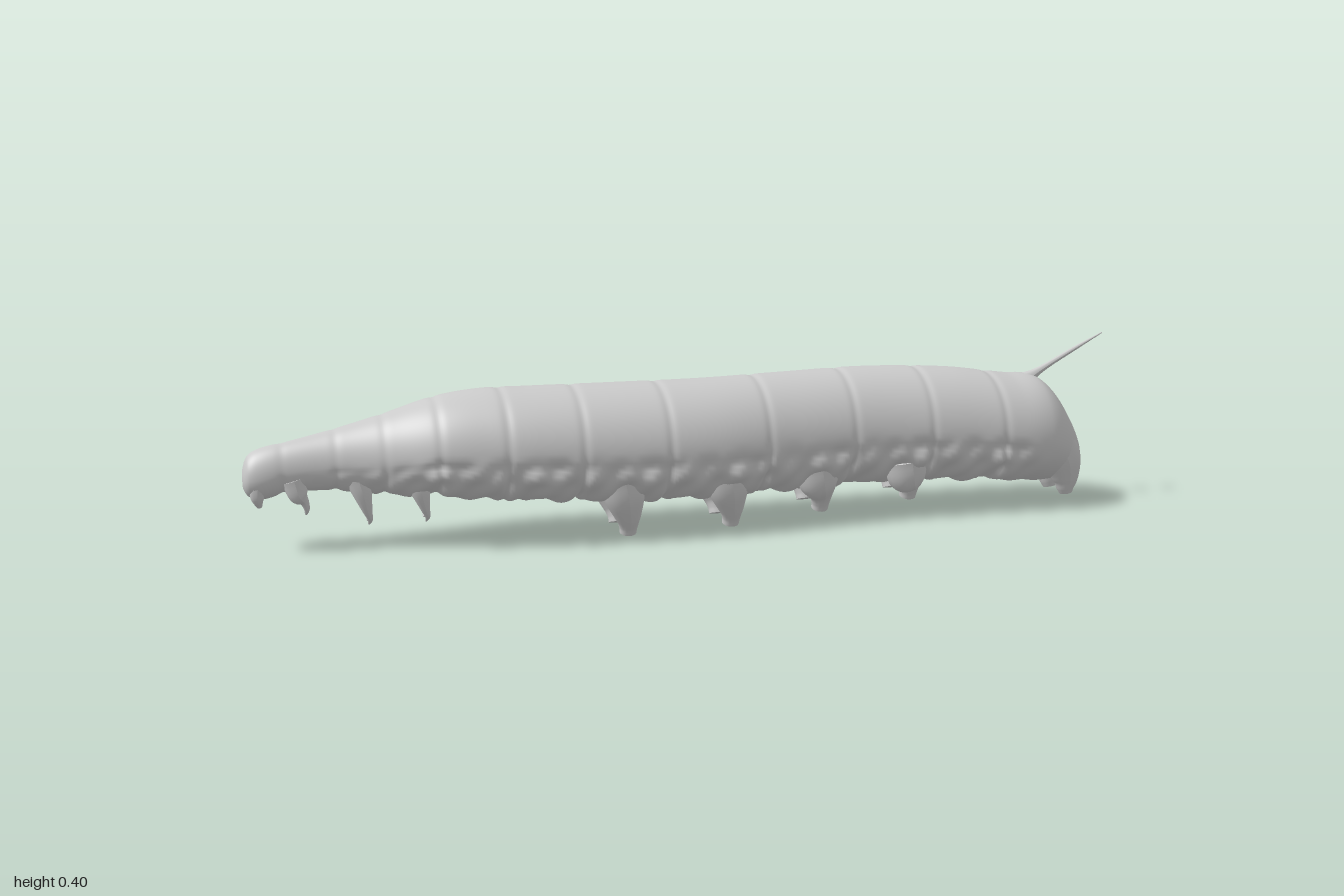
import * as THREE from 'three';

const material = new THREE.MeshStandardMaterial({ color: 0xcccccc });

// Body stations: x, top y, bottom y, right z (min), left z (max)
const STATIONS = [
  [-1.0, 0.172, 0.135, -0.034, 0.008], [-0.992, 0.198, 0.118, -0.05, 0.022],
  [-0.965, 0.216, 0.108, -0.058, 0.03], [-0.9, 0.23, 0.122, -0.055, 0.032],
  [-0.8, 0.253, 0.118, -0.072, 0.047], [-0.7, 0.281, 0.105, -0.092, 0.078],
  [-0.6, 0.312, 0.1, -0.118, 0.118], [-0.5, 0.326, 0.085, -0.132, 0.138],
  [-0.4, 0.327, 0.08, -0.136, 0.15], [-0.2, 0.327, 0.066, -0.141, 0.157],
  [0.0, 0.327, 0.062, -0.147, 0.152], [0.2, 0.331, 0.062, -0.156, 0.128],
  [0.4, 0.335, 0.066, -0.161, 0.113], [0.6, 0.327, 0.062, -0.157, 0.117],
  [0.75, 0.308, 0.052, -0.152, 0.122], [0.82, 0.301, 0.046, -0.14, 0.115],
  [0.86, 0.27, 0.048, -0.116, 0.1], [0.9, 0.212, 0.055, -0.082, 0.074],
  [0.93, 0.158, 0.066, -0.046, 0.042], [0.944, 0.125, 0.085, -0.018, 0.016],
];
const CREASES = [-0.92, -0.81, -0.71, -0.6, -0.46, -0.3, -0.11, 0.12, 0.33, 0.52, 0.7];

const bump = (d, w) => Math.exp(-(d * d) / (w * w));

// Smooth interpolation between stations
function sample(x) {
  let i = 0;
  while (i < STATIONS.length - 2 && x > STATIONS[i + 1][0]) i++;
  const p = STATIONS[i], q = STATIONS[i + 1];
  const o = STATIONS[Math.max(i - 1, 0)], r = STATIONS[Math.min(i + 2, STATIONS.length - 1)];
  const h = q[0] - p[0], t = (x - p[0]) / h;
  return [1, 2, 3, 4].map((k) => {
    const m0 = (q[k] - o[k]) / (q[0] - o[0]) * h, m1 = (r[k] - p[k]) / (r[0] - p[0]) * h;
    const t2 = t * t, t3 = t2 * t;
    return (2 * t3 - 3 * t2 + 1) * p[k] + (t3 - 2 * t2 + t) * m0 + (3 * t2 - 2 * t3) * q[k] + (t3 - t2) * m1;
  });
}

// Segmented body: smooth back, side ridge and wrinkled underside
function bodyGeometry() {
  const N = 420, M = 72, pos = [], idx = [];
  const x0 = STATIONS[0][0], x1 = STATIONS[STATIONS.length - 1][0];
  for (let i = 0; i <= N; i++) {
    const x = x0 + (x1 - x0) * i / N;
    const [top, bot, zr, zl] = sample(x);
    const yc = bot + (top - bot) * 0.45, zc = (zr + zl) / 2, hw = (zl - zr) / 2;
    let crease = 0;
    for (const c of CREASES) crease += bump(x - c, 0.009);
    const ends = THREE.MathUtils.smoothstep(x, -0.92, -0.6) * (1 - THREE.MathUtils.smoothstep(x, 0.7, 0.85));
    for (let j = 0; j < M; j++) {
      const a = j / M * Math.PI * 2, s = Math.sin(a), c = Math.cos(a);
      const low = THREE.MathUtils.smoothstep(-s, -0.1, 0.45);
      const side = Math.sign(c) || 1;
      let f = 1 - crease * (0.018 + 0.05 * low);
      f += ends * low * (0.03 * Math.sin(x * 58 + s * 5 + side) + 0.025 * Math.sin(x * 97 - s * 9));
      f += ends * (0.035 * bump(s + 0.42, 0.12) - 0.04 * bump(s + 0.18, 0.1)) * (0.7 + 0.5 * Math.sin(x * 29));
      pos.push(x, yc + s * f * (s > 0 ? top - yc : yc - bot), zc + c * f * hw);
    }
  }
  for (let i = 0; i < N; i++) for (let j = 0; j < M; j++) {
    const a = i * M + j, b = a + M, c = i * M + (j + 1) % M, d = c + M;
    idx.push(a, b, c, c, b, d);
  }
  // Closed ends
  for (const [ring, flip] of [[0, false], [N, true]]) {
    const [top, bot, zr, zl] = sample(ring ? x1 : x0);
    const centre = pos.length / 3;
    pos.push(ring ? x1 + 0.003 : x0 - 0.001, (top + bot) / 2, (zr + zl) / 2);
    for (let j = 0; j < M; j++) {
      const a = ring * M + j, b = ring * M + (j + 1) % M;
      idx.push(centre, flip ? b : a, flip ? a : b);
    }
  }
  const g = new THREE.BufferGeometry();
  g.setAttribute('position', new THREE.Float32BufferAttribute(pos, 3));
  g.setIndex(idx);
  g.computeVertexNormals();
  return g;
}

// Tapered round limb through points [x, y, z, radius], closed at both ends
function limbGeometry(points, flat = 1, sides = 16, steps = 20) {
  const path = new THREE.CatmullRomCurve3(points.map((p) => new THREE.Vector3(p[0], p[1], p[2])));
  const radii = new THREE.CatmullRomCurve3(points.map((p, i) => new THREE.Vector3(i, p[3], 0)));
  const g = new THREE.CylinderGeometry(1, 1, 1, sides, steps);
  const pos = g.attributes.position, up = new THREE.Vector3(0, 1, 0);
  const v = new THREE.Vector3(), q = new THREE.Quaternion();
  for (let i = 0; i < pos.count; i++) {
    const t = THREE.MathUtils.clamp(0.5 - pos.getY(i), 0, 1);
    const r = Math.max(radii.getPoint(t).y, 0.0006);
    q.setFromUnitVectors(up, path.getTangent(t).negate());
    v.set(pos.getX(i) * r, 0, pos.getZ(i) * r * flat).applyQuaternion(q).add(path.getPoint(t));
    pos.setXYZ(i, v.x, v.y, v.z);
  }
  g.computeVertexNormals();
  return g;
}

export function createModel() {
  const model = new THREE.Group();
  const add = (name, geometry) => {
    const mesh = new THREE.Mesh(geometry, material);
    mesh.name = name;
    model.add(mesh);
    return mesh;
  };
  add('body', bodyGeometry());

  for (const s of [1, -1]) {
    const side = s > 0 ? 'left' : 'right';

    // Stubby gripping legs under the middle
    [[-0.19, 0.001], [0.05, 0.004], [0.27, 0.02], [0.49, 0.034]].forEach(([x, y], i) => {
      const [, , zr, zl] = sample(x), z = (zr + zl) / 2;
      add(side + 'Proleg' + (i + 1), limbGeometry([
        [x - 0.02, 0.13, z + s * 0.075, 0.05], [x - 0.01, 0.085, z + s * 0.072, 0.045],
        [x, y + 0.035, z + s * 0.062, 0.028], [x + 0.002, y + 0.015, z + s * 0.055, 0.021],
        [x + 0.002, y, z + s * 0.05, 0.019],
      ]));
    });

    // Thin hooked legs near the head
    [[-0.875, 0.072], [-0.745, 0.044], [-0.625, 0.046]].forEach(([x, y], i) => {
      const [, , zr, zl] = sample(x), z = (zr + zl) / 2, w = 0.02 + i * 0.009;
      add(side + 'ThoracicLeg' + (i + 1), limbGeometry([
        [x - 0.022, 0.15, z + s * w, 0.026], [x - 0.012, 0.115, z + s * w * 1.1, 0.02],
        [x - 0.002, y + 0.03, z + s * w, 0.01], [x + 0.003, y + 0.012, z + s * w * 0.8, 0.006],
        [x + 0.001, y, z + s * w * 0.55, 0.002],
      ], 1, 12));
    });

    // Mouth parts
    add(side + 'Mandible', limbGeometry([
      [-0.97, 0.15, -0.014 + s * 0.022, 0.02], [-0.972, 0.115, -0.014 + s * 0.02, 0.014],
      [-0.968, 0.094, -0.014 + s * 0.014, 0.005],
    ], 1, 12));

    // Rear claspers
    add(side + 'Clasper', limbGeometry([
      [0.85, 0.15, s * 0.055, 0.05], [0.88, 0.1, s * 0.048, 0.046],
      [0.893, 0.055, s * 0.043, 0.032], [0.895, 0.032, s * 0.041, 0.022], [0.897, 0.019, s * 0.04, 0.016],
    ], 0.8));
  }

  // Tail horn with a flared base
  add('tailHorn', limbGeometry([
    [0.79, 0.28, -0.008, 0.026], [0.825, 0.302, -0.006, 0.012], [0.86, 0.322, -0.005, 0.007],
    [0.93, 0.36, -0.003, 0.005], [0.999, 0.396, 0, 0.0015],
  ], 0.9, 12));
  return model;
}
